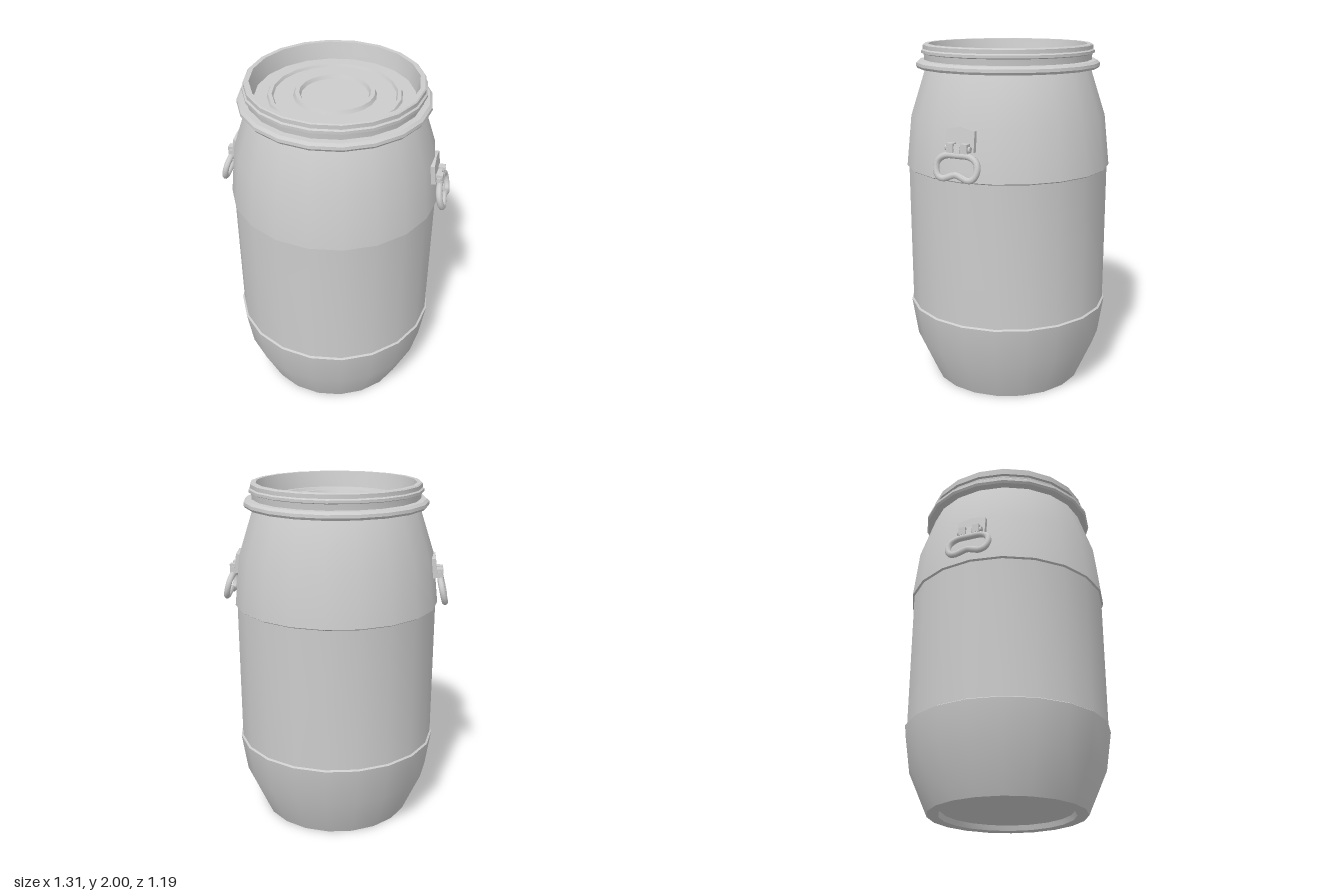
import * as THREE from 'three';
import { toCreasedNormals } from 'three/addons/utils/BufferGeometryUtils.js';

const SIDES = 20;
const grey = new THREE.MeshStandardMaterial({ color: 0xcccccc, side: THREE.DoubleSide });

function addMesh(parent, name, geometry, crease = 0.6) {
  const mesh = new THREE.Mesh(toCreasedNormals(geometry, crease), grey);
  mesh.name = name;
  parent.add(mesh);
  return mesh;
}

// Turned part from [radius, height] pairs, running up the outside
function turned(parent, name, profile) {
  const points = profile.map(([r, y]) => new THREE.Vector2(r, y));
  return addMesh(parent, name, new THREE.LatheGeometry(points, SIDES));
}

// Hinged carrying handle on the +x side
function makeHandle() {
  const handle = new THREE.Group();

  // Mounting plate with a low pointed top, leaning with the shoulder
  const outline = new THREE.Shape([
    [-0.085, -0.06], [0.085, -0.06], [0.085, 0.052], [0, 0.07], [-0.085, 0.052],
  ].map(([x, y]) => new THREE.Vector2(x, y)));
  const plateGeometry = new THREE.ExtrudeGeometry(outline, { depth: 0.035, bevelEnabled: false });
  plateGeometry.rotateY(Math.PI / 2);
  const plate = addMesh(handle, 'mountingPlate', plateGeometry);
  plate.position.set(0.546, 1.53, 0);
  plate.rotation.z = 0.13;

  // Two lugs carry a pin, with the ring's link between them
  for (const side of [-1, 1]) {
    const lug = addMesh(handle, 'hingeLug', new THREE.BoxGeometry(0.055, 0.05, 0.04));
    lug.position.set(0.592, 1.495, side * 0.042);
  }
  const pin = addMesh(handle, 'hingePin', new THREE.CylinderGeometry(0.014, 0.014, 0.15, 8), 1);
  pin.rotation.x = Math.PI / 2;
  pin.position.set(0.6, 1.493, 0);
  const link = addMesh(handle, 'ringLink', new THREE.BoxGeometry(0.026, 0.065, 0.034));
  link.position.set(0.603, 1.483, 0);
  link.rotation.z = 0.2;

  // Kidney-shaped grip ring, swinging outward towards its lower edge
  const half = [[0.075, 1.452], [0.115, 1.425], [0.122, 1.385], [0.105, 1.345], [0.075, 1.334], [0.04, 1.345]];
  const loop = [
    [0, 1.456], ...half, [0, 1.357],
    ...half.slice().reverse().map(([z, y]) => [-z, y]),
  ].map(([z, y]) => new THREE.Vector3(0.606 + (1.456 - y) * 0.25, y, z));
  const path = new THREE.CatmullRomCurve3(loop, true);
  addMesh(handle, 'gripRing', new THREE.TubeGeometry(path, 36, 0.018, 8, true), 1);
  return handle;
}

export function createModel() {
  const barrel = new THREE.Group();
  barrel.name = 'barrel';

  // Hollow-footed body with a slightly recessed middle band
  turned(barrel, 'body', [
    [0, 0.03], [0.375, 0.03], [0.385, 0], [0.45, 0], [0.56, 0.25], [0.594, 0.475],
    [0.583, 0.482], [0.583, 1.303], [0.594, 1.31], [0.562, 1.6], [0.47, 1.88], [0.46, 1.9],
  ]);

  // Clamping band around the neck
  turned(barrel, 'clampBand', [
    [0.465, 1.865], [0.518, 1.867], [0.527, 1.88], [0.525, 1.897], [0.51, 1.91], [0.475, 1.912],
  ]);

  // Grooved lid: raised rim, sunken floor and two concentric beads
  turned(barrel, 'lid', [
    [0.478, 1.9], [0.482, 1.945], [0.495, 1.95], [0.495, 1.965], [0.486, 1.972], [0.486, 1.994],
    [0.48, 2], [0.455, 2], [0.435, 1.905],
    [0.365, 1.905], [0.358, 1.92], [0.338, 1.92], [0.33, 1.905],
    [0.225, 1.905], [0.215, 1.925], [0.192, 1.925], [0.182, 1.905], [0, 1.905],
  ]);

  // A matching handle on each side
  const left = makeHandle();
  left.name = 'leftHandle';
  const right = makeHandle();
  right.name = 'rightHandle';
  right.rotation.y = Math.PI;
  barrel.add(left, right);

  return barrel;
}
